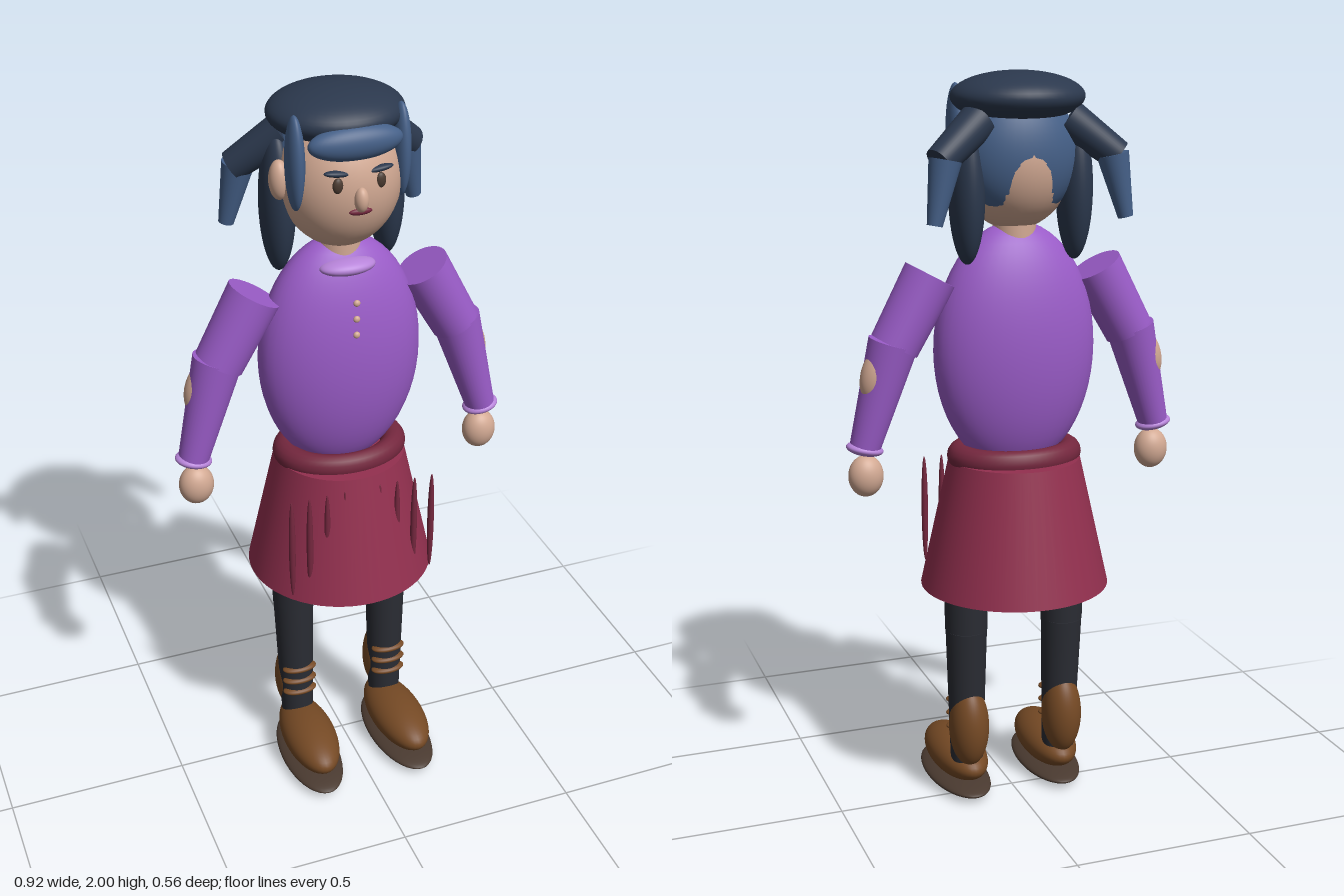
import * as THREE from 'three';

const mat = (name, color) => {
  const m = new THREE.MeshStandardMaterial({ color });
  m.name = name;
  return m;
};

export function createModel() {
  const skin = mat('skin', 0xd2a993);
  const hairDark = mat('darkHair', 0x2b384d);
  const hairLight = mat('lightHair', 0x456088);
  const purple = mat('purpleCloth', 0x9a5cc8);
  const lavender = mat('lavenderTrim', 0xb683d8);
  const maroon = mat('maroonCloth', 0x93304f);
  const darkMaroon = mat('darkMaroonTrim', 0x74273e);
  const charcoal = mat('stocking', 0x2a2c33);
  const brown = mat('bootLeather', 0x764a25);
  const soleBrown = mat('sole', 0x4a3a30);

  const root = new THREE.Group();
  const sphere = new THREE.SphereGeometry(1, 40, 28);

  const add = (name, geometry, material, parent = root) => {
    const mesh = new THREE.Mesh(geometry, material);
    mesh.name = name;
    parent.add(mesh);
    return mesh;
  };
  // Ellipsoid from centre and half sizes
  const blob = (name, material, pos, size, parent = root, rotZ = 0) => {
    const mesh = add(name, sphere, material, parent);
    mesh.position.set(...pos);
    mesh.scale.set(...size);
    mesh.rotation.z = rotZ;
    return mesh;
  };
  // Tapered round limb from a to b
  const limb = (name, material, a, b, ra, rb, parent = root) => {
    const start = new THREE.Vector3(...a), end = new THREE.Vector3(...b);
    const dir = end.clone().sub(start);
    const mesh = add(name, new THREE.CylinderGeometry(rb, ra, dir.length(), 40), material, parent);
    mesh.position.copy(start).add(end).multiplyScalar(0.5);
    mesh.quaternion.setFromUnitVectors(new THREE.Vector3(0, 1, 0), dir.normalize());
    return mesh;
  };

  // Torso and clothing
  blob('torso', purple, [0, 1.28, -0.02], [0.222, 0.335, 0.124]);
  blob('collar', lavender, [0, 1.55, 0.04], [0.075, 0.022, 0.042]);
  for (const y of [1.475, 1.43, 1.385]) blob('button', skin, [0, y, 0.108], [0.009, 0.009, 0.007]);
  const skirt = add('skirt', new THREE.CylinderGeometry(0.177, 0.256, 0.355, 56), maroon);
  skirt.position.set(0, 0.803, -0.02);
  const band = add('waistband', new THREE.TorusGeometry(0.15, 0.035, 16, 56), darkMaroon);
  band.rotation.x = Math.PI / 2;
  band.scale.y = 0.78;
  band.position.set(0, 0.99, -0.02);
  for (const x of [-0.2, -0.15, -0.1, -0.05, 0.05, 0.1, 0.15, 0.2]) {
    blob('pleat', darkMaroon, [x, 0.8, 0.157], [0.009, 0.15, 0.009]);
  }

  // Head and face
  limb('neck', skin, [0, 1.54, -0.02], [0, 1.67, -0.02], 0.058, 0.055);
  blob('head', skin, [0, 1.775, -0.015], [0.157, 0.182, 0.15]);
  blob('nose', skin, [0, 1.767, 0.136], [0.018, 0.032, 0.02]);
  blob('mouth', darkMaroon, [0, 1.735, 0.131], [0.03, 0.009, 0.008]);

  // Hair
  blob('hairCap', hairDark, [0, 1.935, -0.045], [0.175, 0.065, 0.157]);
  blob('fringe', hairLight, [0, 1.9, 0.095], [0.122, 0.045, 0.04]);
  blob('backHair', hairLight, [0, 1.79, -0.06], [0.157, 0.17, 0.1042]);

  for (const s of [1, -1]) {
    const side = new THREE.Group();
    side.name = s > 0 ? 'leftSide' : 'rightSide';
    root.add(side);

    // Face details
    blob('eye', soleBrown, [s * 0.055, 1.805, 0.121], [0.014, 0.02, 0.009], side);
    blob('eyebrow', hairDark, [s * 0.055, 1.834, 0.116], [0.035, 0.008, 0.012], side, s * 0.12);
    blob('ear', skin, [s * 0.16, 1.785, -0.012], [0.026, 0.052, 0.03], side);

    // Locks and pigtails
    blob('frontLock', hairLight, [s * 0.138, 1.845, 0.045], [0.023, 0.122, 0.042], side);
    blob('backLock', hairDark, [s * 0.147, 1.7, -0.07], [0.045, 0.185, 0.066], side);
    limb('pigtail', hairDark, [s * 0.12, 1.88, -0.09], [s * 0.24, 1.785, -0.138], 0.05, 0.04, side);
    limb('pigtailTip', hairLight, [s * 0.225, 1.79, -0.138], [s * 0.258, 1.63, -0.15], 0.042, 0.02, side);

    // Arm
    limb('upperArm', purple, [s * 0.23, 1.485, -0.018], [s * 0.33, 1.305, -0.018], 0.072, 0.066, side);
    limb('forearm', purple, [s * 0.333, 1.315, -0.02], [s * 0.415, 1.03, -0.01], 0.066, 0.04, side);
    blob('elbowPatch', skin, [s * 0.38, 1.235, -0.025], [0.042, 0.075, 0.04], side, s * 0.28);
    blob('cuff', lavender, [s * 0.413, 1.035, -0.01], [0.05, 0.018, 0.044], side, s * 0.2);
    blob('hand', skin, [s * 0.41, 0.96, -0.005], [0.047, 0.056, 0.04], side);

    // Leg and boot
    limb('thigh', charcoal, [s * 0.14, 0.72, -0.02], [s * 0.14, 0.5, -0.02], 0.062, 0.058, side);
    limb('shin', charcoal, [s * 0.14, 0.5, -0.02], [s * 0.137, 0.1, -0.008], 0.057, 0.045, side);
    blob('bootShaft', brown, [s * 0.138, 0.215, -0.032], [0.055, 0.118, 0.064], side);
    for (const y of [0.2, 0.24, 0.28]) {
      blob('bootLace', brown, [s * 0.138, y, 0.018], [0.05, 0.012, 0.026], side);
    }
    blob('foot', brown, [s * 0.137, 0.087, 0.092], [0.075, 0.058, 0.168], side).rotation.y = s * 0.03;
    blob('bootSole', soleBrown, [s * 0.138, 0.022, 0.095], [0.083, 0.022, 0.186], side).rotation.y = s * 0.03;
  }
  return root;
}
